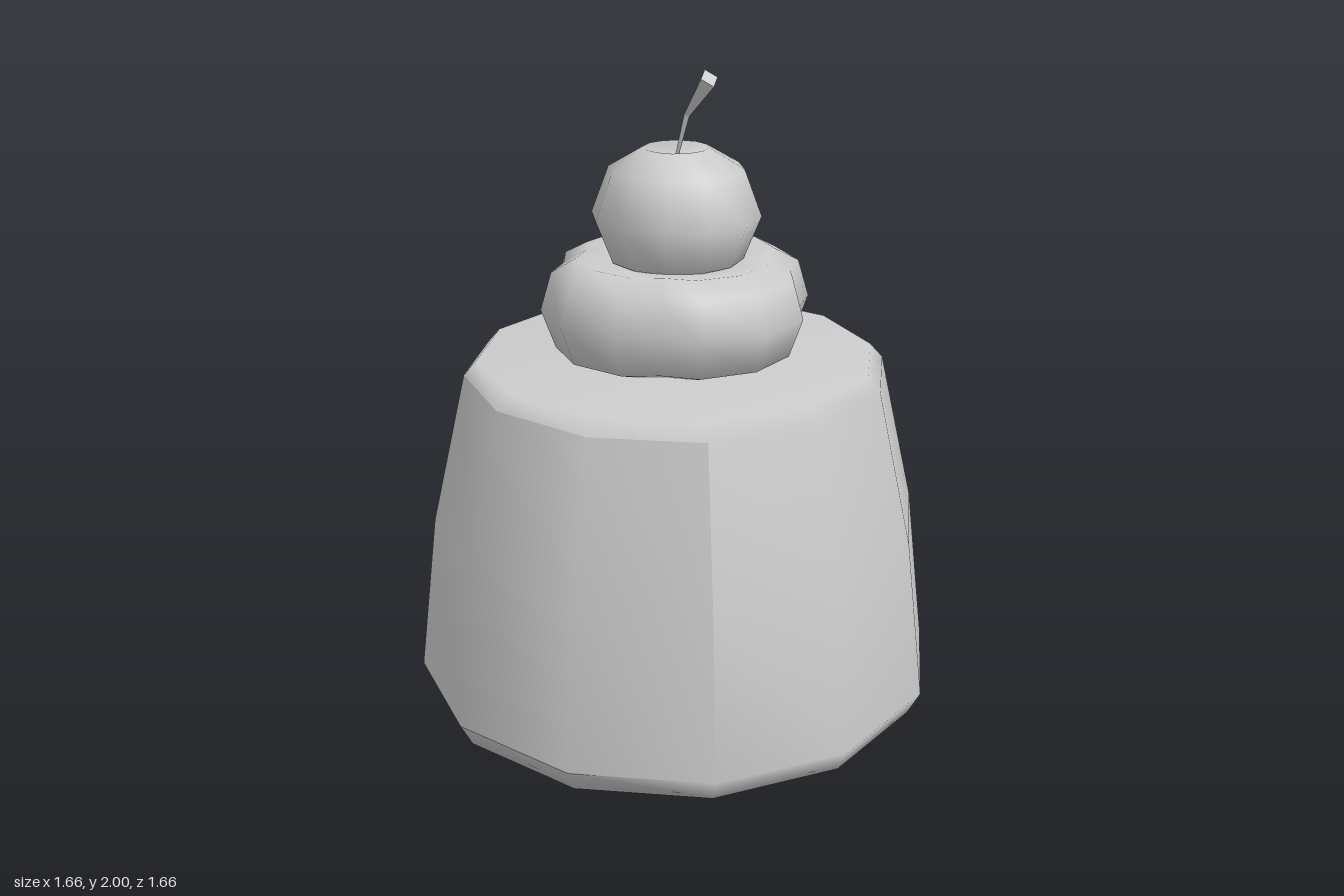
import * as THREE from 'three';
import { mergeGeometries, mergeVertices } from 'three/addons/utils/BufferGeometryUtils.js';

const RAD = Math.PI / 180;

// Weld the seams and smooth the normals over the whole surface
function weld(geometry) {
  geometry.deleteAttribute('uv');
  geometry.deleteAttribute('normal');
  const welded = mergeVertices(geometry, 1e-4);
  welded.computeVertexNormals();
  return welded;
}

function lathe(points, segments, startDeg = 0, sweepDeg = 360) {
  return new THREE.LatheGeometry(
    points.map(([r, y]) => new THREE.Vector2(r, y)), segments, startDeg * RAD, sweepDeg * RAD);
}

export function createModel() {
  const group = new THREE.Group();
  const grey = new THREE.MeshStandardMaterial({ color: 0xcccccc });
  grey.name = 'plain grey';

  const add = (name, geometry) => {
    const mesh = new THREE.Mesh(geometry, grey);
    mesh.name = name;
    group.add(mesh);
    return mesh;
  };

  // Twelve-sided pudding body, left open where the front panel sits
  const base = [[0, 0], [0.79, 0], [0.83, 0.075]];
  const wall = [[0.83, 0.075], [0.77, 0.58], [0.66, 1.06]];
  const top = [[0.66, 1.06], [0.62, 1.105], [0, 1.105]];
  add('puddingBody', weld(mergeGeometries([
    lathe([...base, wall[1], ...top], 8, 60, 240),
    lathe(base, 4, -60, 120),
    lathe(top, 4, -60, 120),
  ])));

  // Front panel: four facets of the wall with their own hard border
  add('frontPanel', weld(lathe(wall, 4, -60, 120)));

  // Cream ring with four soft lobes
  const cream = lathe([[0, 1.105], [0.27, 1.105], [0.385, 1.145], [0.43, 1.267],
    [0.395, 1.383], [0.315, 1.425], [0.19, 1.41], [0, 1.38]], 16);
  const lobeRadius = [1, 0.977, 0.885, 0.977];
  const lobeAngle = [0, 27, 45, 63];
  const p = cream.attributes.position;
  for (let i = 0; i < p.count; i++) {
    const r = Math.hypot(p.getX(i), p.getZ(i));
    const step = Math.floor(i / 8) % 16;
    const a = (Math.floor(step / 4) * 90 + lobeAngle[step % 4]) * RAD;
    const k = r * lobeRadius[step % 4];
    p.setXYZ(i, k * Math.sin(a), p.getY(i), k * Math.cos(a));
  }
  add('creamRing', weld(cream));

  // Cherry with a shallow dimple
  add('cherry', weld(lathe([[0, 1.34], [0.11, 1.355], [0.207, 1.415], [0.26, 1.548],
    [0.207, 1.69], [0.1, 1.753], [0, 1.73]], 12, 15)));

  // Bent four-sided stem flaring towards its tip
  const rings = [
    { x: 0.005, y: 1.73, r: 0.007, tilt: -0.3 },
    { x: 0.053, y: 1.86, r: 0.012, tilt: -0.55 },
    { x: 0.156, y: 1.979, r: 0.031, tilt: -0.8 },
  ];
  const stem = new THREE.CylinderGeometry(1, 1, 2, 4, 2);
  const s = stem.attributes.position;
  for (let i = 0; i < s.count; i++) {
    const ring = rings[Math.round(s.getY(i)) + 1];
    const across = s.getX(i) * ring.r;
    s.setXYZ(i, ring.x + across * Math.cos(ring.tilt),
      ring.y + across * Math.sin(ring.tilt), s.getZ(i) * ring.r);
  }
  const flatStem = stem.toNonIndexed();
  flatStem.computeVertexNormals();
  add('stem', flatStem);

  return group;
}
